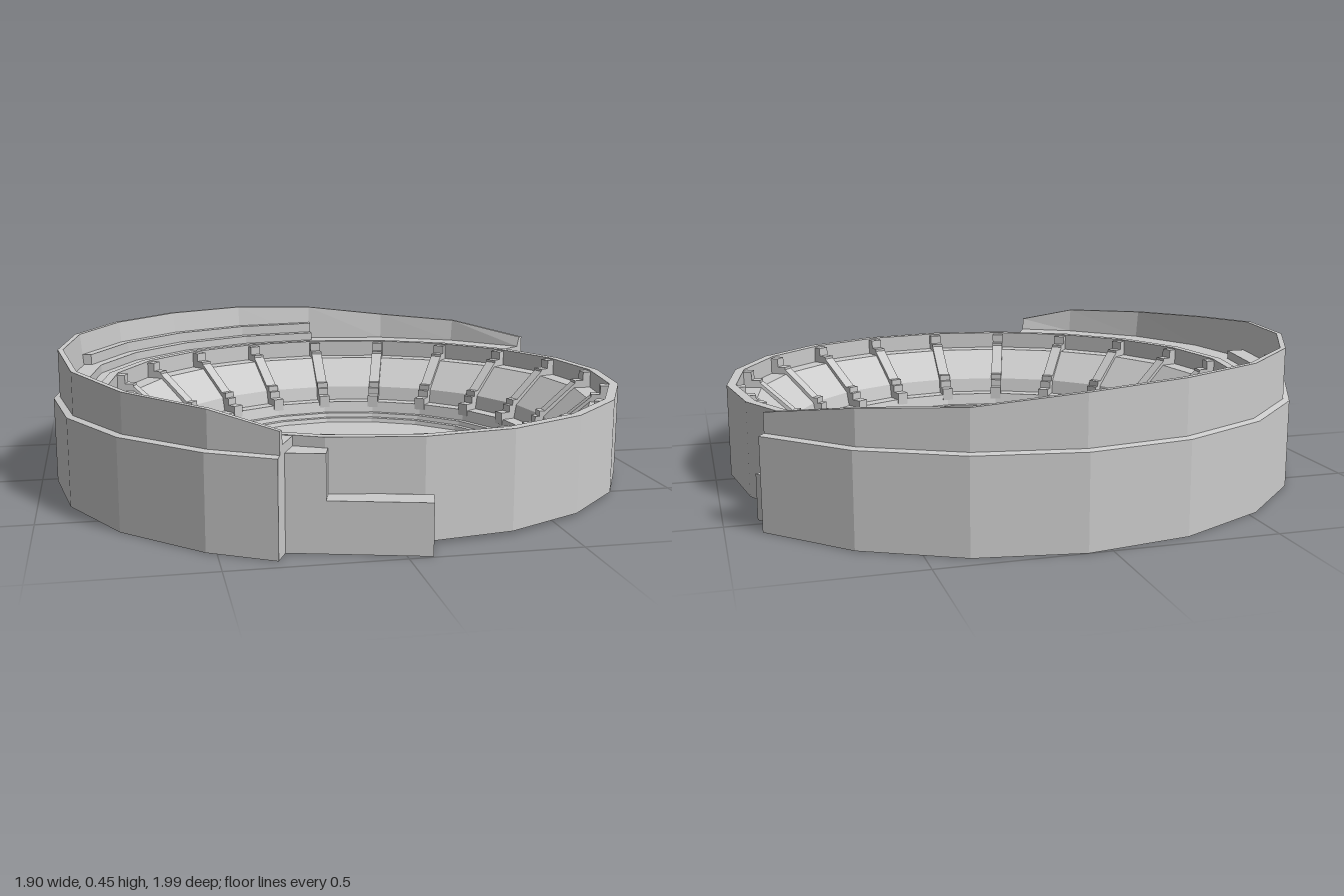
import * as THREE from 'three';

const CX = 0.07, CZ = 0.02;
const rad = THREE.MathUtils.degToRad;

// Sweeps a closed counter-clockwise (radius, height) section through angles in degrees
function sweep(sectionAt, angles, capped) {
  const out = [];
  const at = (a, [r, y]) => [r * Math.sin(rad(a)), y, r * Math.cos(rad(a))];
  const rings = angles.map(a => sectionAt(a).map(p => at(a, p)));
  for (let i = 0; i < rings.length - 1; i++) {
    const A = rings[i], B = rings[i + 1], n = A.length;
    for (let j = 0; j < n; j++) {
      const k = (j + 1) % n;
      out.push(A[j], B[j], A[k], B[j], B[k], A[k]);
    }
  }
  if (capped) {
    [0, rings.length - 1].forEach((ri, end) => {
      const flat = sectionAt(angles[ri]).map(p => new THREE.Vector2(...p));
      for (const [a, b, c] of THREE.ShapeUtils.triangulateShape(flat, [])) {
        const R = rings[ri];
        if (end) out.push(R[a], R[c], R[b]);
        else out.push(R[a], R[b], R[c]);
      }
    });
  }
  const g = new THREE.BufferGeometry();
  g.setAttribute('position', new THREE.Float32BufferAttribute(out.flat(), 3));
  g.computeVertexNormals();
  return g;
}

const steps = (from, to) => {
  const list = [];
  for (let a = from; a <= to; a += 18) list.push(a);
  return list;
};

export function createModel() {
  const model = new THREE.Group();
  model.name = 'arena';
  const mat = new THREE.MeshStandardMaterial({ color: 0xcccccc, flatShading: true, side: THREE.DoubleSide });
  const add = (name, geo, parent = model) => {
    const m = new THREE.Mesh(geo, mat);
    m.name = name;
    parent.add(m);
    return m;
  };
  const ring = new THREE.Group();
  ring.name = 'ringParts';
  ring.position.set(CX, 0, CZ);
  model.add(ring);

  // Terraced bowl with a recessed underside
  const bowl = [
    [0, 0.02], [0.61, 0.02], [0.62, 0.005], [0.68, 0.005], [0.69, 0.06], [0.78, 0.08], [0.79, 0.01], [0.88, 0.01],
    [0.88, 0.31], [0.85, 0.31], [0.85, 0.25], [0.79, 0.25], [0.68, 0.15], [0.67, 0.1], [0.62, 0.1],
    [0.61, 0.06], [0.59, 0.06], [0.585, 0.045], [0.565, 0.045], [0.56, 0.03], [0, 0.03],
  ];
  add('bowl', sweep(() => bowl, steps(0, 360), false), ring);

  // Raised dividers between the seating sections
  const dividerParts = [
    [[0.79, 0.24], [0.86, 0.24], [0.86, 0.305], [0.82, 0.305], [0.82, 0.275], [0.79, 0.275]],
    [[0.66, 0.1], [0.69, 0.1], [0.8, 0.24], [0.8, 0.275], [0.68, 0.17], [0.66, 0.17]],
    [[0.61, 0.08], [0.67, 0.08], [0.67, 0.15], [0.645, 0.15], [0.645, 0.125], [0.61, 0.125]],
  ].map(pts => {
    const g = new THREE.ExtrudeGeometry(new THREE.Shape(pts.map(p => new THREE.Vector2(...p))),
      { depth: 0.04, bevelEnabled: false });
    return g.translate(0, 0, -0.02);
  });
  for (let i = 0; i < 20; i++) {
    const divider = new THREE.Group();
    divider.name = 'divider';
    divider.rotation.y = rad(i * 18 - 90);
    dividerParts.forEach(g => add('dividerStep', g, divider));
    ring.add(divider);
  }

  // Outer shell around the back and one side, with a top edge of varying height
  const shellAngles = [...steps(126, 324), 336];
  const heights = [0.345, 0.39, 0.405, 0.437, 0.45, 0.45, 0.448, 0.445, 0.44, 0.42, 0.407, 0.395, 0.35];
  const shellSection = a => {
    const h = heights[shellAngles.indexOf(a)];
    return [[0.87, 0], [1.02, 0], [1.02, 0.28], [1.0, 0.285], [1.0, h], [0.983, h], [0.97, 0.308], [0.87, 0.308]];
  };
  add('outerShell', sweep(shellSection, shellAngles, true), ring);

  // Ledges inside the shell
  const ledge = (r0, y0, y1, from, to) => add('ledge',
    sweep(() => [[r0, y0], [0.98, y0], [0.98, y1], [r0, y1]], steps(from, to), true), ring);
  ledge(0.91, 0.3, 0.337, 180, 270);
  ledge(0.945, 0.33, 0.373, 180, 252);

  // Two-step blocks at the ends of the shell, placed from the centre of their free end
  const endSteps = (name, x, z, angle, width, parts) => {
    const g = new THREE.Group();
    g.name = name;
    g.position.set(x, 0, z);
    g.rotation.y = rad(angle);
    for (const [from, to, h] of parts) {
      add('step', new THREE.BoxGeometry(to - from, h, width).translate(-(from + to) / 2, h / 2, 0), g);
    }
    model.add(g);
  };
  endSteps('frontEndSteps', 0.08, 0.957, -15, 0.078, [[0, 0.29, 0.15], [0.29, 0.43, 0.28]]);
  endSteps('backEndSteps', 0.865, -0.435, -55, 0.086, [[0, 0.08, 0.14], [0.08, 0.2, 0.28]]);

  return model;
}
